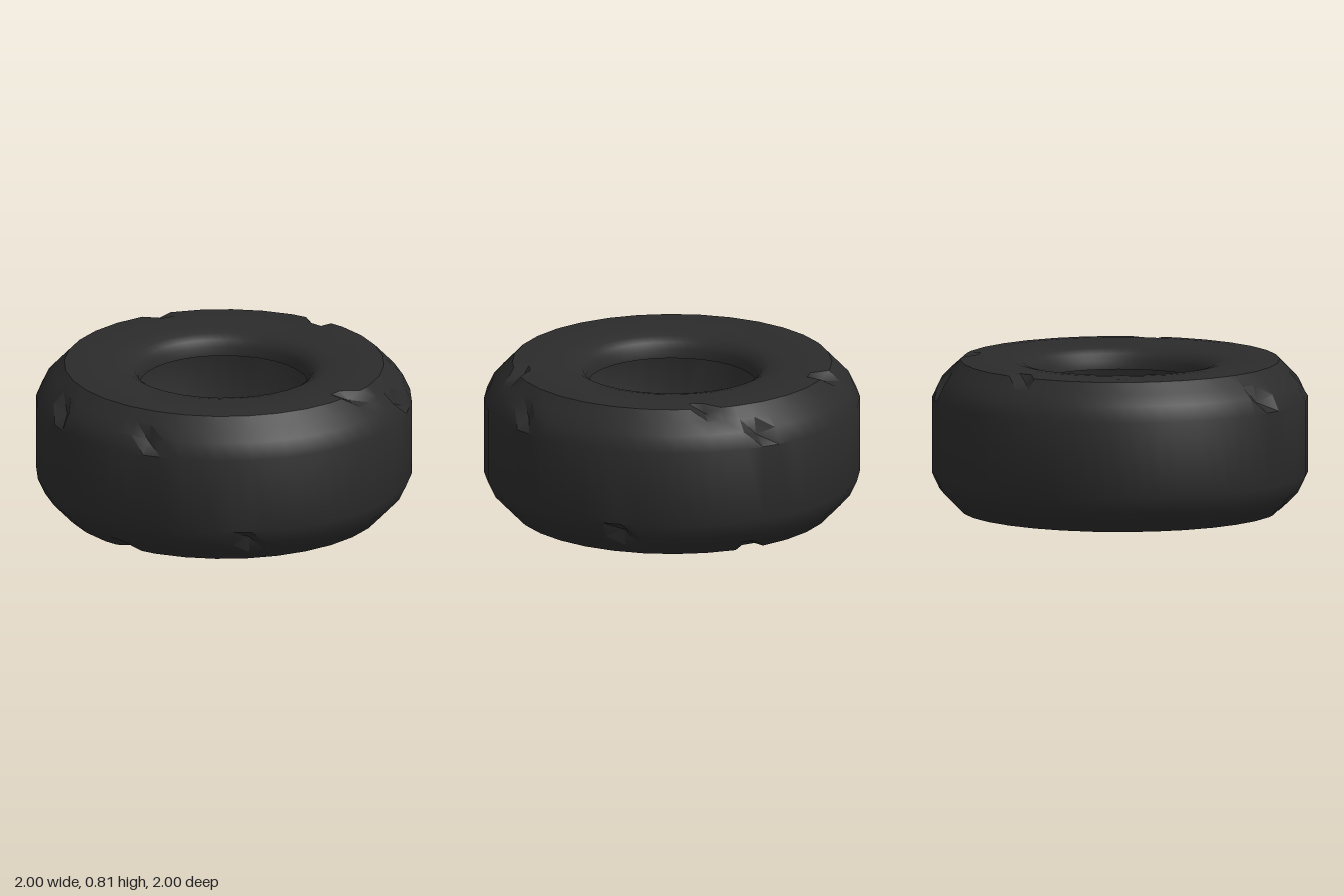
import * as THREE from 'three';
import { toCreasedNormals } from 'three/addons/utils/BufferGeometryUtils.js';

const HEIGHT = 0.815;
const SIDES = 32;

// lower half of the tyre section, from the inner lip out to the tread
const HALF = [
  [0.45, 0.126], [0.455, 0.08], [0.475, 0.045], [0.515, 0.02], [0.57, 0.008],
  [0.65, 0.002], [0.77, 0], [0.85, 0.006], [0.905, 0.063], [0.96, 0.12], [1, 0.205],
];
const EDGE = 7, SHOULDER = 9;

// worn nicks: [x, z, ring of the section, on top?]
const NICKS = [
  [0, -0.85, EDGE, true], [0.85, 0, EDGE, true], [-0.72, -0.42, EDGE, true],
  [0.16, 0.95, SHOULDER, true], [-0.47, 0.82, SHOULDER, true],
  [-0.3, -0.88, SHOULDER, true], [0.88, -0.4, SHOULDER, true],
  [0, 0.85, EDGE, false], [0.69, 0.67, SHOULDER, false],
  [0.4, -0.84, SHOULDER, false], [-0.26, -0.85, EDGE, false],
];

export function createModel() {
  const group = new THREE.Group();
  group.name = 'tyre';

  const rubber = new THREE.MeshStandardMaterial({ color: 0x2b2b2b, side: THREE.DoubleSide });
  rubber.name = 'black rubber';

  // mirrored section, left open at the inner lips so the casing is hollow
  const lower = HALF.map(([r, y]) => new THREE.Vector2(r, y));
  const upper = HALF.map(([r, y]) => new THREE.Vector2(r, HEIGHT - y)).reverse();
  const profile = [...lower, ...upper];
  const n = profile.length;
  const columns = SIDES * 2;
  const geometry = new THREE.LatheGeometry(profile, columns);
  const pos = geometry.attributes.position;

  // odd columns sit on the chords of the polygon
  const chord = Math.cos(Math.PI / SIDES);
  for (let j = 1; j < columns; j += 2) {
    for (let i = 0; i < n; i++) {
      const k = j * n + i;
      pos.setXYZ(k, pos.getX(k) * chord, pos.getY(k), pos.getZ(k) * chord);
    }
  }

  // push single points towards the middle of the section to form nicks
  const push = (k) => {
    const x = pos.getX(k), y = pos.getY(k), z = pos.getZ(k);
    const s = 1 - 0.035 / Math.hypot(x, z);
    pos.setXYZ(k, x * s, y + (y > HEIGHT / 2 ? -0.035 : 0.035), z * s);
  };
  for (const [x, z, ring, top] of NICKS) {
    const turn = Math.atan2(x, z) / (2 * Math.PI) + 1;
    const j = Math.round(turn * columns) % columns;
    const i = top ? n - 1 - ring : ring;
    push(j * n + i);
    if (j === 0) push(columns * n + i); // both sides of the seam
  }

  const tyre = new THREE.Mesh(toCreasedNormals(geometry, THREE.MathUtils.degToRad(34)), rubber);
  tyre.name = 'tyreCasing';
  group.add(tyre);
  return group;
}
